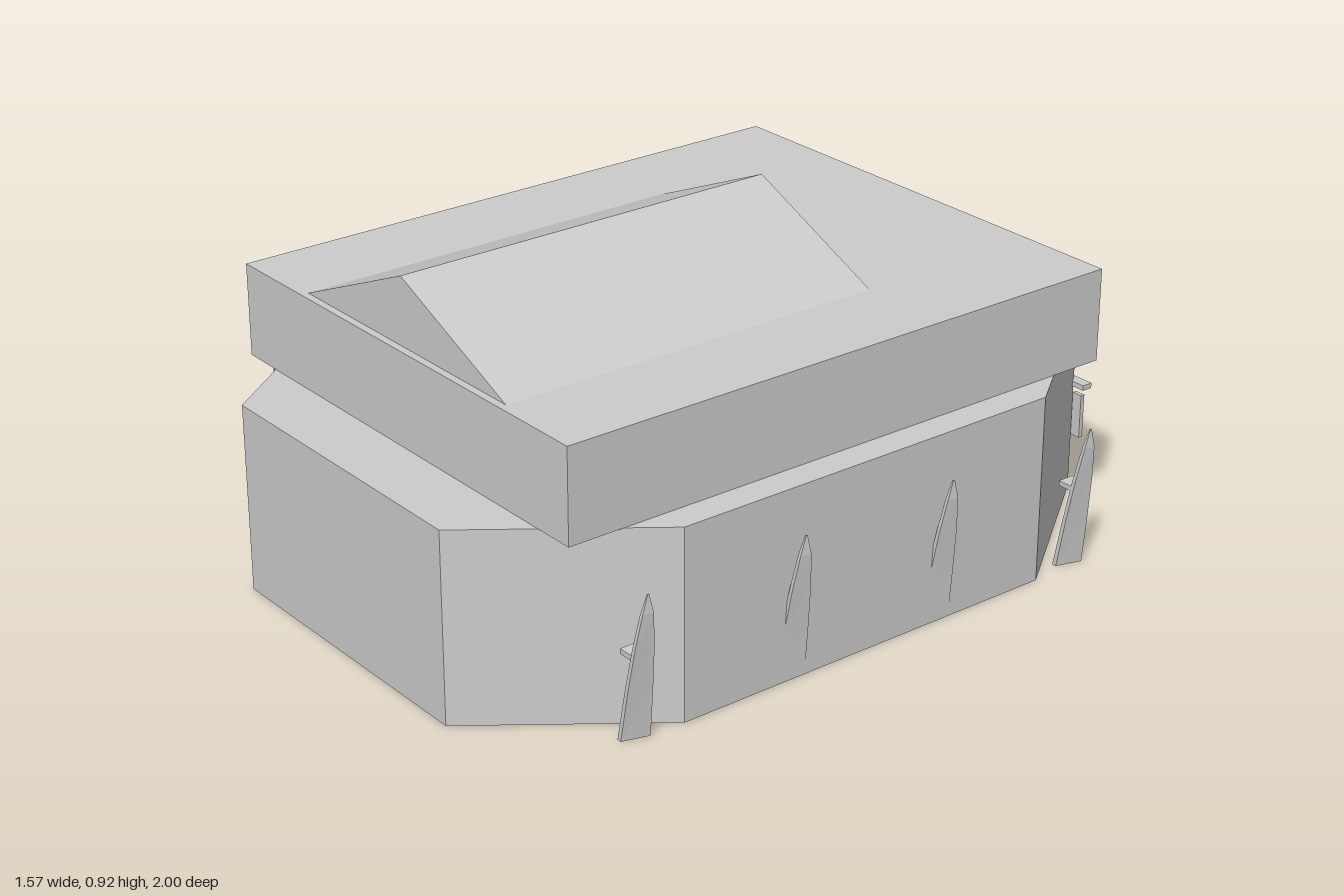
import * as THREE from 'three';

const mat = new THREE.MeshStandardMaterial({ color: 0xcccccc, flatShading: true });

function add(parent, name, geometry, x = 0, y = 0, z = 0) {
  const mesh = new THREE.Mesh(geometry, mat);
  mesh.name = name;
  mesh.position.set(x, y, z);
  parent.add(mesh);
  return mesh;
}

function prism(points, depth) {
  const shape = new THREE.Shape(points.map(([x, y]) => new THREE.Vector2(x, y)));
  return new THREE.ExtrudeGeometry(shape, { depth, bevelEnabled: false });
}

// Outward-leaning pointed blade: a box whose rows follow a tapering profile
function bladeGeometry() {
  const rows = [ // height, half width, inner x, outer x at the front edge, outer x at the rear edge
    [0, 0.035, 0.71, 0.722, 0.742],
    [0.13, 0.03, 0.731, 0.742, 0.758],
    [0.25, 0.023, 0.752, 0.762, 0.773],
    [0.34, 0.013, 0.768, 0.777, 0.784],
    [0.39, 0.002, 0.778, 0.781, 0.782],
  ];
  const geo = new THREE.BoxGeometry(1, 1, 1, 1, rows.length - 1, 1);
  const p = geo.attributes.position;
  for (let i = 0; i < p.count; i++) {
    const [h, w, inner, front, rear] = rows[Math.round((p.getY(i) + 0.5) * (rows.length - 1))];
    const z = p.getZ(i);
    const x = p.getX(i) < 0 ? inner : z > 0 ? front : rear;
    p.setXYZ(i, x, h, Math.sign(z) * w);
  }
  geo.computeVertexNormals();
  return geo;
}

export function createModel() {
  const model = new THREE.Group();
  model.name = 'building';

  // Eight-sided hall
  const hall = prism([
    [-0.42, -0.995], [0.42, -0.995], [0.745, -0.56], [0.745, 0.555],
    [0.42, 0.99], [-0.42, 0.99], [-0.745, 0.555], [-0.745, -0.56],
  ], 0.5);
  hall.rotateX(-Math.PI / 2);
  add(model, 'hall', hall);

  // Upper storey and gabled roof
  add(model, 'upperStorey', new THREE.BoxGeometry(1.33, 0.245, 1.63), 0, 0.6225, 0.005);
  add(model, 'gableRoof', prism([[-0.41, 0.745], [0.41, 0.745], [0, 0.922]], 1.075), 0, 0, -0.275);

  // Four blades with brackets along each side
  const blade = bladeGeometry();
  const bracket = new THREE.BoxGeometry(0.05, 0.013, 0.045);
  for (const side of [1, -1]) {
    for (const z of [0.69, 0.233, -0.225, -0.682]) {
      const post = new THREE.Group();
      post.name = 'bladePost';
      post.position.z = z;
      post.scale.x = side;
      add(post, 'blade', blade);
      add(post, 'bracket', bracket, 0.73, 0.222, 0);
      model.add(post);
    }
  }

  // Small hooded plates on the rear wall
  for (const x of [-0.443, 0, 0.443]) {
    add(model, 'rearHood', new THREE.BoxGeometry(0.062, 0.014, 0.03), x, 0.31, -0.985);
    add(model, 'rearPlate', new THREE.BoxGeometry(0.03, 0.12, 0.012), x, 0.22, -0.987);
  }
  return model;
}
